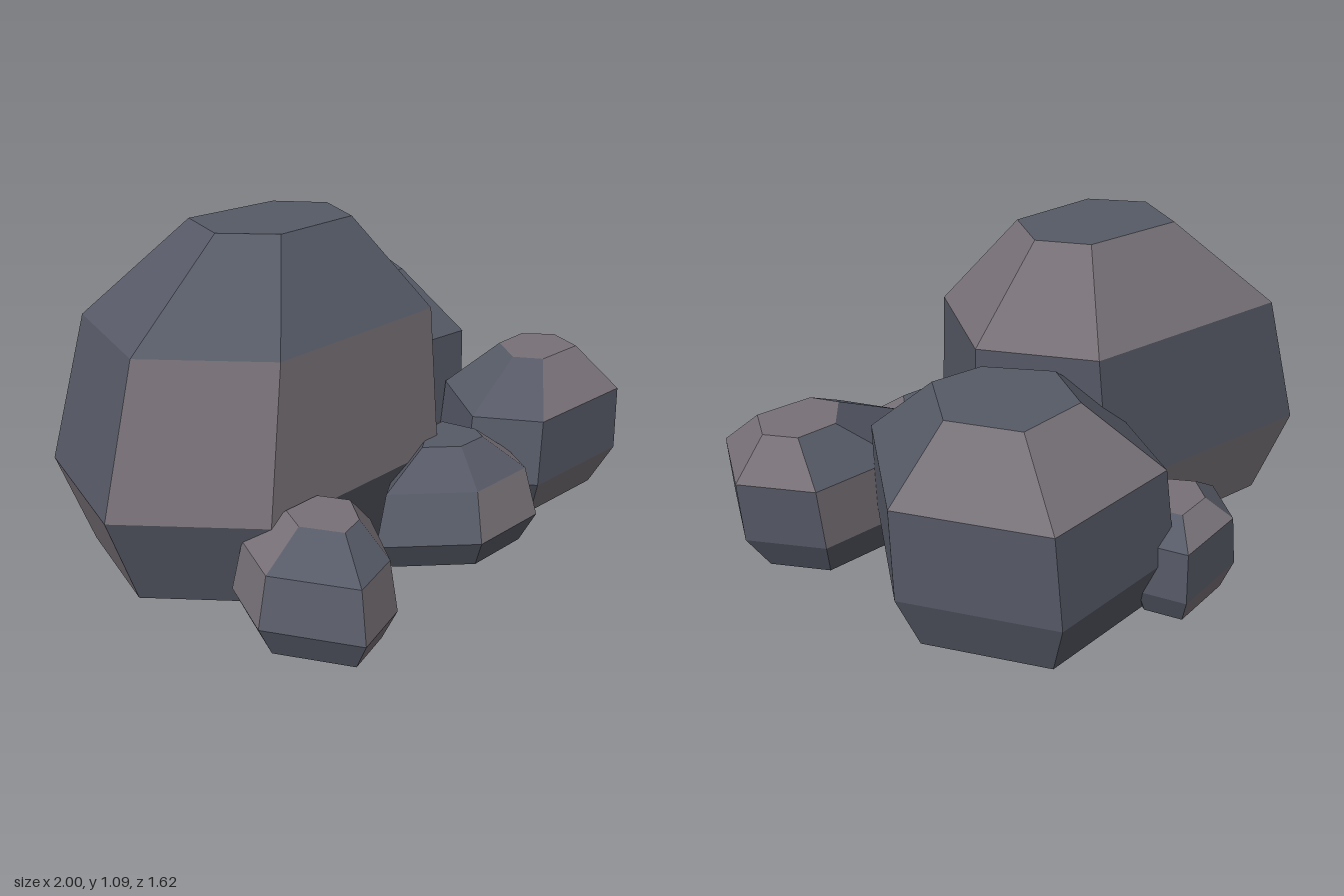
import * as THREE from 'three';

// Two stone tones, spread facet by facet
const mats = [
  new THREE.MeshStandardMaterial({ name: 'cool grey stone', color: 0x565a66 }),
  new THREE.MeshStandardMaterial({ name: 'warm grey stone', color: 0x777177 }),
];

// Builds one faceted boulder from a single six-cornered belly outline.
// outline: [x, z] corners from the left, round the front, to the back left.
// rings: belly, shoulder and crown as { y, scale, dx, dz }; each is the outline resized and shifted.
// tones: facets of each band from the ground up (c = cool, w = warm); crownTone: the top.
function makeBoulder(name, outline, footScale, rings, tones, crownTone) {
  const count = outline.length;
  const midX = outline.reduce((sum, p) => sum + p[0], 0) / count;
  const midZ = outline.reduce((sum, p) => sum + p[1], 0) / count;
  const levels = [{ y: 0, scale: footScale }, ...rings];
  const loops = levels.map(({ y, scale = 1, dx = 0, dz = 0 }) =>
    outline.map(([x, z]) => new THREE.Vector3(
      midX + (x - midX) * scale + dx, y, midZ + (z - midZ) * scale + dz)));

  // Collect triangles per tone
  const buckets = [[], []];
  const add = (tone, ...corners) =>
    corners.forEach((v) => buckets[tone === 'w' ? 1 : 0].push(v.x, v.y, v.z));

  // Side bands
  tones.forEach((band, r) => {
    const lo = loops[r], hi = loops[r + 1];
    for (let i = 0; i < count; i++) {
      const j = (i + 1) % count;
      add(band[i], lo[i], lo[j], hi[j]);
      add(band[i], lo[i], hi[j], hi[i]);
    }
  });

  // Flat crown and foot
  const foot = loops[0], crown = loops[loops.length - 1];
  for (let i = 1; i < count - 1; i++) {
    add(crownTone, crown[0], crown[i], crown[i + 1]);
    add('c', foot[0], foot[i + 1], foot[i]);
  }

  const geo = new THREE.BufferGeometry();
  geo.setAttribute('position', new THREE.Float32BufferAttribute(buckets.flat(), 3));
  const coolCount = buckets[0].length / 3;
  geo.addGroup(0, coolCount, 0);
  geo.addGroup(coolCount, buckets[1].length / 3, 1);
  geo.computeVertexNormals(); // unshared corners give flat facets

  const mesh = new THREE.Mesh(geo, mats);
  mesh.name = name;
  return mesh;
}

export function createModel() {
  const group = new THREE.Group();
  group.name = 'rockPile';

  // Two large boulders
  group.add(makeBoulder('mainBoulder',
    [[-1, 0], [-0.7, 0.4], [0.1, 0.43], [0.33, -0.02], [0.08, -0.4], [-0.79, -0.5]], 0.82,
    [{ y: 0.305 }, { y: 0.785, scale: 0.89, dx: 0.075, dz: -0.015 }, { y: 1.09, scale: 0.41, dx: 0.13, dz: -0.02 }],
    ['cccwww', 'wwcccc', 'ccwwwc'], 'c'));

  group.add(makeBoulder('secondBoulder',
    [[-0.1, -0.27], [0.21, 0.13], [0.6, 0.185], [0.89, -0.28], [0.63, -0.74], [0.1, -0.71]], 0.82,
    [{ y: 0.21 }, { y: 0.535, scale: 0.96, dx: 0.025 }, { y: 0.75, scale: 0.47, dx: 0.05 }],
    ['cwwccc', 'cccccc', 'wccwwc'], 'c'));

  // Smaller rocks around them
  group.add(makeBoulder('frontRightRock',
    [[0.25, 0.45], [0.37, 0.67], [0.84, 0.71], [0.985, 0.41], [0.82, 0.18], [0.48, 0.17]], 0.76,
    [{ y: 0.14 }, { y: 0.365, scale: 0.97, dx: 0.025, dz: -0.005 }, { y: 0.505, scale: 0.43, dx: 0.1, dz: -0.015 }],
    ['cwwccc', 'ccccwc', 'cwwwcc'], 'w'));

  group.add(makeBoulder('frontLeftRock',
    [[-0.89, 0.52], [-0.76, 0.81], [-0.55, 0.76], [-0.365, 0.53], [-0.46, 0.31], [-0.77, 0.3]], 0.8,
    [{ y: 0.1 }, { y: 0.25, scale: 0.89, dx: 0.02, dz: -0.015 }, { y: 0.345, scale: 0.44, dx: 0.055, dz: -0.03 }],
    ['cwwccc', 'cwcccw', 'ccwcww'], 'w'));

  group.add(makeBoulder('frontMiddleRock',
    [[-0.29, 0.475], [-0.05, 0.72], [0.25, 0.74], [0.35, 0.6], [0.3, 0.27], [0.1, 0.26]], 0.8,
    [{ y: 0.1 }, { y: 0.25, scale: 0.87, dx: 0.03, dz: -0.03 }, { y: 0.35, scale: 0.38, dx: 0.03, dz: -0.05 }],
    ['ccwccc', 'cwwccc', 'ccwwcc'], 'c'));

  group.add(makeBoulder('backRock',
    [[-0.26, -0.58], [-0.14, -0.42], [0.08, -0.4], [0.21, -0.66], [0.15, -0.81], [-0.14, -0.77]], 0.8,
    [{ y: 0.1 }, { y: 0.28, scale: 0.92, dx: 0.01, dz: -0.01 }, { y: 0.35, scale: 0.46, dx: 0.01, dz: -0.01 }],
    ['wcccwc', 'ccwccw', 'wcccwc'], 'w'));

  return group;
}
